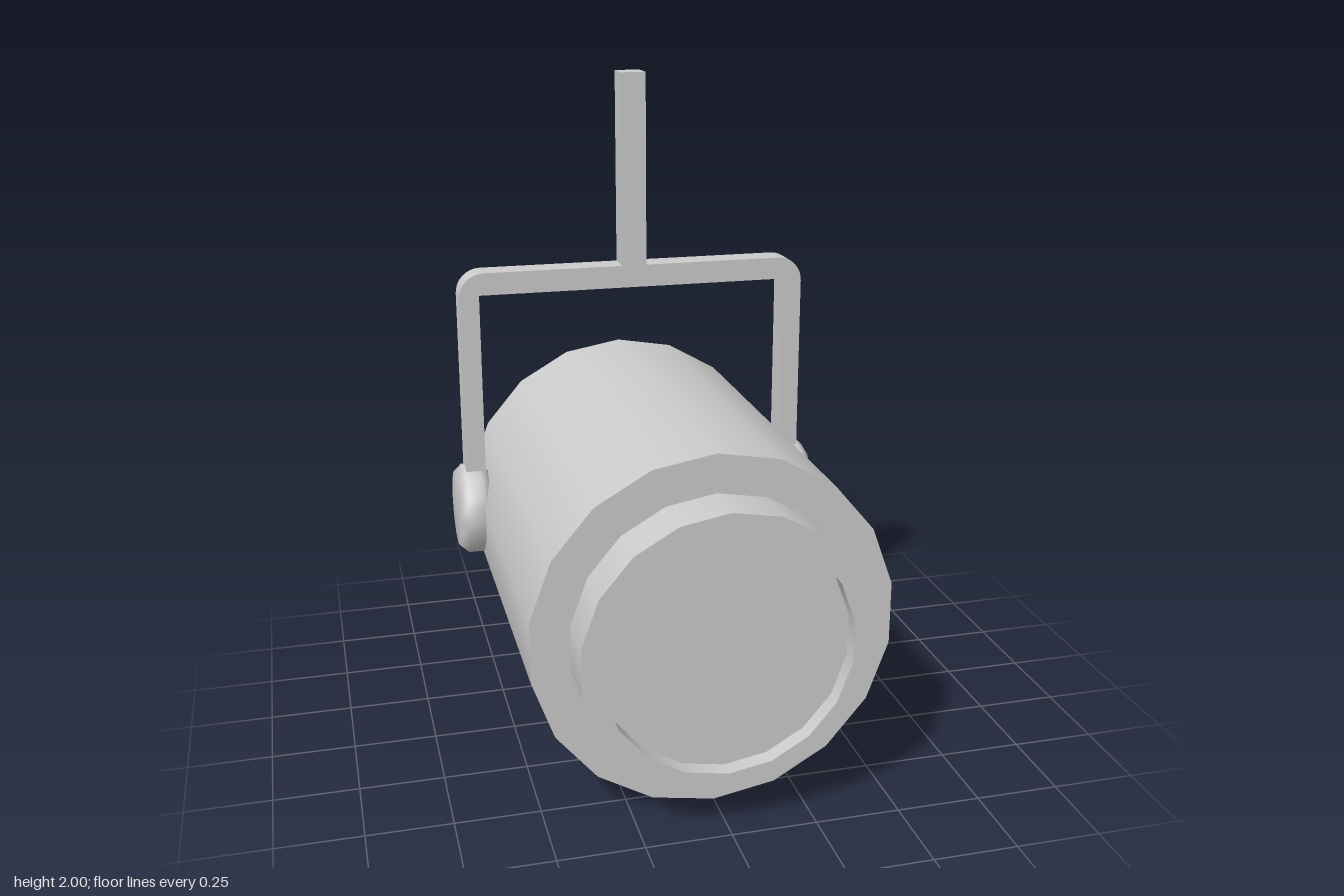
import * as THREE from 'three';
import { mergeGeometries, toCreasedNormals } from 'three/addons/utils/BufferGeometryUtils.js';

const material = new THREE.MeshStandardMaterial({ color: 0xcccccc });

function addMesh(parent, name, geometry) {
  const mesh = new THREE.Mesh(geometry, material);
  mesh.name = name;
  parent.add(mesh);
  return mesh;
}

// Lathes several [radius, height] bands; shading is smooth within a band, sharp between bands
function turned(bands, sides) {
  return mergeGeometries(bands.map((band) =>
    new THREE.LatheGeometry(band.map(([r, h]) => new THREE.Vector2(r, h)), sides)));
}

export function createModel() {
  const model = new THREE.Group();
  model.name = 'spotlight';

  // Lamp housing and front lens ring, turned around the z axis
  const lamp = new THREE.Group();
  lamp.name = 'lamp';
  lamp.rotation.x = Math.PI / 2;
  lamp.position.y = 0.537;
  model.add(lamp);

  addMesh(lamp, 'housing', turned([
    [[0, -0.71], [0.497, -0.71], [0.535, -0.672]],
    [[0.535, -0.672], [0.535, 0.56]],
    [[0.535, 0.56], [0.42, 0.56]],
  ], 18));
  addMesh(lamp, 'lensRing', turned([
    [[0.42, 0.56], [0.42, 0.71]],
    [[0.42, 0.71], [0.363, 0.71]],
    [[0.363, 0.71], [0.363, 0.66]],
  ], 18));
  addMesh(lamp, 'lens', turned([[[0.363, 0.66], [0, 0.66]]], 18));

  // Rounded pivot knobs on both sides
  const knob = turned([[
    [0, 0.495], [0.125, 0.495], [0.15, 0.525], [0.15, 0.578], [0.125, 0.605], [0, 0.605],
  ]], 12);
  for (const [name, side] of [['leftKnob', 1], ['rightKnob', -1]]) {
    const mesh = addMesh(model, name, knob);
    mesh.rotation.z = -side * Math.PI / 2;
    mesh.position.set(0, 0.585, -0.455);
  }

  // Yoke with rounded outer corners and hanging stem, one extruded outline
  const outer = 0.572, inner = 0.508, top = 1.387, under = 1.315, foot = 0.6;
  const round = 0.08, stem = 0.04;
  const outline = new THREE.Shape();
  outline.moveTo(inner, foot);
  outline.lineTo(outer, foot);
  outline.lineTo(outer, top - round);
  outline.absarc(outer - round, top - round, round, 0, Math.PI / 2, false);
  outline.lineTo(stem, top);
  outline.lineTo(stem, 2);
  outline.lineTo(-stem, 2);
  outline.lineTo(-stem, top);
  outline.lineTo(-outer + round, top);
  outline.absarc(-outer + round, top - round, round, Math.PI / 2, Math.PI, false);
  outline.lineTo(-outer, foot);
  outline.lineTo(-inner, foot);
  outline.lineTo(-inner, under);
  outline.lineTo(inner, under);
  outline.closePath();
  const yoke = new THREE.ExtrudeGeometry(outline, { depth: 0.088, bevelEnabled: false, curveSegments: 4 });
  yoke.translate(0, 0, -0.504);
  addMesh(model, 'yoke', toCreasedNormals(yoke, 0.6));

  return model;
}
